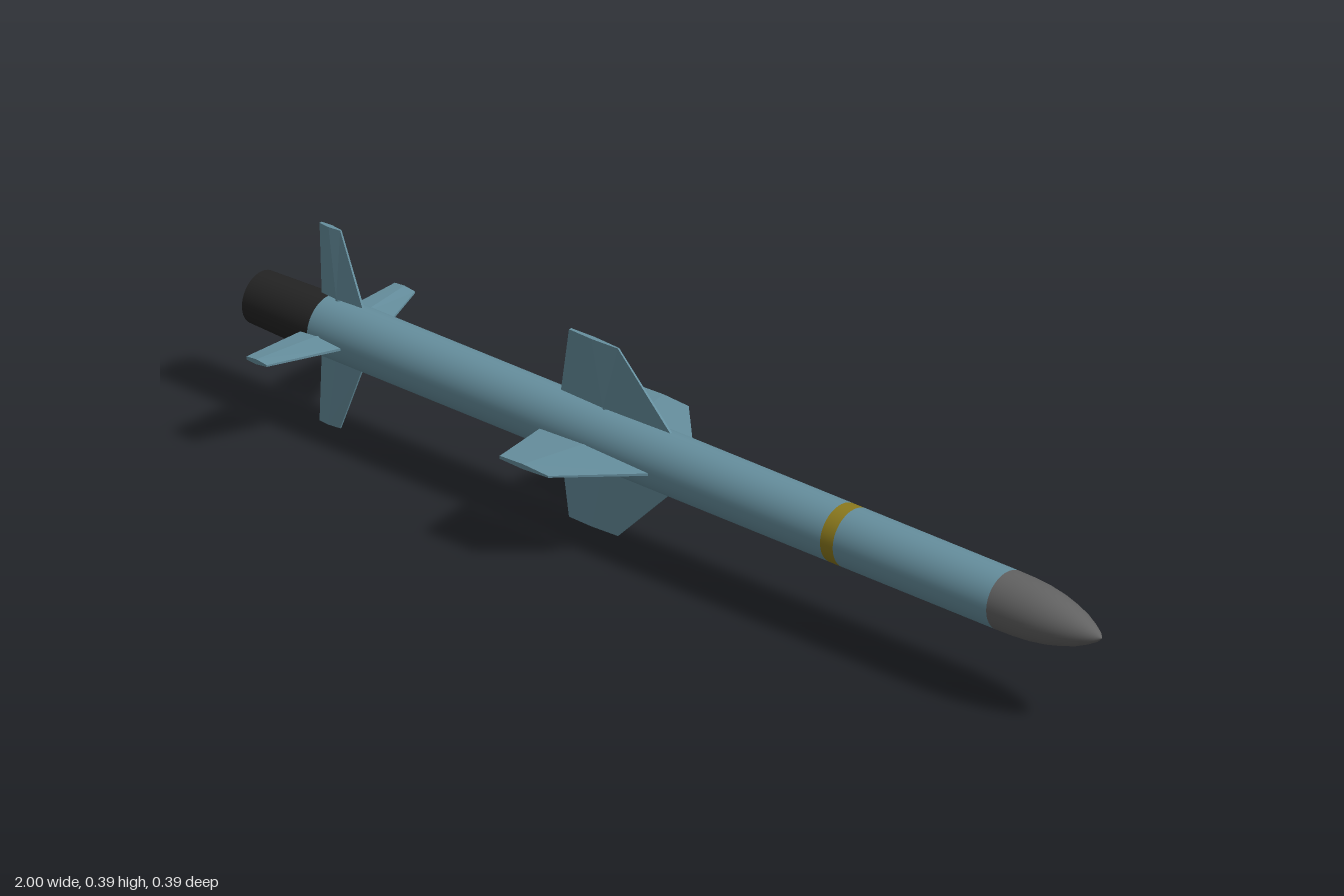
import * as THREE from 'three';

const mat = (name, color) => new THREE.MeshStandardMaterial({ name, color });

// Lofted blade: root and tip sections with blunt edges and a ridge; span along +y
function bladeGeometry(root, tip) {
  const section = (s) => [
    [s.back, s.edge], [s.ridge, s.half], [s.front, s.edge * 0.6],
    [s.front, -s.edge * 0.6], [s.ridge, -s.half], [s.back, -s.edge],
  ].map(([x, z]) => [x, s.r, z]);
  const lo = section(root), hi = section(tip), pos = [];
  const tri = (a, b, c) => pos.push(...a, ...b, ...c);
  for (let i = 0; i < 6; i++) {
    const j = (i + 1) % 6;
    tri(lo[i], lo[j], hi[j]);
    tri(lo[i], hi[j], hi[i]);
    if (i > 0 && i < 5) {
      tri(hi[0], hi[i], hi[j]);
      tri(lo[0], lo[j], lo[i]);
    }
  }
  const g = new THREE.BufferGeometry();
  g.setAttribute('position', new THREE.Float32BufferAttribute(pos, 3));
  g.computeVertexNormals();
  return g;
}

export function createModel() {
  const blue = mat('blueGreyPaint', 0x668f9e);
  const grey = mat('noseGrey', 0x626262);
  const black = mat('tailBlack', 0x242424);
  const yellow = mat('bandYellow', 0x8c7a1e);

  const model = new THREE.Group();
  model.name = 'missile';
  model.position.y = 0.195;
  const R = 0.056;

  const add = (name, geometry, material, parent = model) => {
    const m = new THREE.Mesh(geometry, material);
    m.name = name;
    parent.add(m);
    return m;
  };

  // Cylinder lying along x from x0 to x1
  const tube = (name, x0, x1, r0, r1, material) => {
    const g = new THREE.CylinderGeometry(r1, r0, x1 - x0, 48);
    g.rotateZ(-Math.PI / 2).translate((x0 + x1) / 2, 0, 0);
    add(name, g, material);
  };
  tube('tailSection', -1, -0.84, 0.05, R - 0.001, black);
  tube('rearBody', -0.84, 0.38, R, R, blue);
  tube('yellowBand', 0.38, 0.41, R, R, yellow);
  tube('frontBody', 0.41, 0.775, R, R, blue);

  // Ogive nose
  const profile = [
    [R, 0.775], [0.0555, 0.81], [0.053, 0.85], [0.048, 0.885], [0.041, 0.915],
    [0.032, 0.945], [0.021, 0.97], [0.01, 0.99], [0, 1],
  ].map(([r, x]) => new THREE.Vector2(r, x));
  add('noseCone', new THREE.LatheGeometry(profile, 48).rotateZ(-Math.PI / 2), grey);

  // Four wings and four tail fins, each on a short pivot
  const wing = bladeGeometry(
    { r: 0.06, back: -0.283, ridge: -0.18, front: -0.025, edge: 0.004, half: 0.008 },
    { r: 0.185, back: -0.265, ridge: -0.21, front: -0.15, edge: 0.003, half: 0.005 });
  const fin = bladeGeometry(
    { r: 0.06, back: -0.852, ridge: -0.815, front: -0.757, edge: 0.004, half: 0.007 },
    { r: 0.195, back: -0.858, ridge: -0.835, front: -0.81, edge: 0.003, half: 0.005 });
  const pivot = new THREE.CylinderGeometry(0.006, 0.006, 0.03, 12);

  for (let i = 0; i < 4; i++) {
    const set = new THREE.Group();
    set.name = 'finSet' + (i + 1);
    set.rotation.x = (i * Math.PI) / 2;
    add('wing', wing, blue, set);
    add('wingPivot', pivot, blue, set).position.set(-0.18, 0.052, 0);
    add('tailFin', fin, blue, set);
    add('tailFinPivot', pivot, blue, set).position.set(-0.815, 0.052, 0);
    model.add(set);
  }

  const group = new THREE.Group();
  group.name = 'model';
  group.add(model);
  return group;
}
